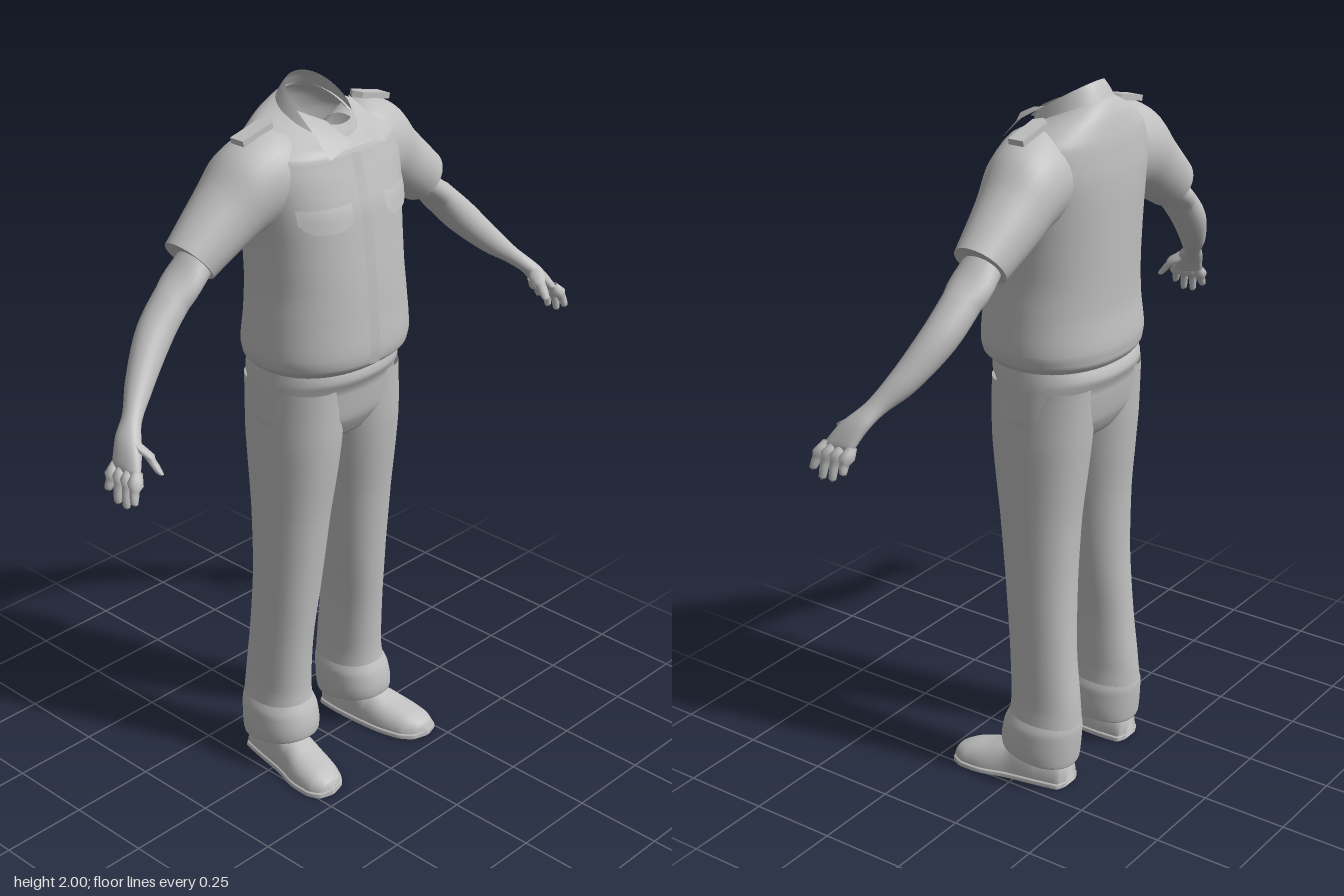
import * as THREE from 'three';

const gray = new THREE.MeshStandardMaterial({ color: 0xc0c0c0, side: THREE.DoubleSide });
gray.name = 'plain gray';
const V = (x, y, z) => new THREE.Vector3(x, y, z);
const lerp = THREE.MathUtils.lerp;

function mesh(name, geo) {
  const m = new THREE.Mesh(geo, gray);
  m.name = name;
  return m;
}

// Grid of points turned into a smooth surface; closed joins the last column to the first
function gridGeometry(rows, closed) {
  const n = rows[0].length, pos = [], idx = [];
  rows.forEach(r => r.forEach(p => pos.push(p.x, p.y, p.z)));
  for (let i = 0; i < rows.length - 1; i++) {
    for (let j = 0; j < (closed ? n : n - 1); j++) {
      const a = i * n + j, b = i * n + (j + 1) % n, c = a + n, d = b + n;
      idx.push(a, b, d, a, d, c);
    }
  }
  const g = new THREE.BufferGeometry();
  g.setAttribute('position', new THREE.Float32BufferAttribute(pos, 3));
  g.setIndex(idx);
  g.computeVertexNormals();
  return g;
}

// Smooth loft through superellipse sections { c, u, v, n }
function loft(name, secs, sides = 32, steps = 5) {
  const curve = k => new THREE.CatmullRomCurve3(secs.map(s => s[k]));
  const C = curve('c'), U = curve('u'), W = curve('v');
  const total = (secs.length - 1) * steps, rows = [];
  for (let i = 0; i <= total; i++) {
    const t = i / total, k = Math.min(Math.floor(i / steps), secs.length - 2);
    const e = 2 / lerp(secs[k].n, secs[k + 1].n, i / steps - k);
    const c = C.getPoint(t), u = U.getPoint(t), v = W.getPoint(t), row = [];
    for (let j = 0; j < sides; j++) {
      const a = j / sides * Math.PI * 2, x = Math.cos(a), y = Math.sin(a);
      const p = c.clone()
        .addScaledVector(u, Math.sign(x) * Math.abs(x) ** e)
        .addScaledVector(v, Math.sign(y) * Math.abs(y) ** e);
      p.y = Math.max(0, p.y);
      row.push(p);
    }
    rows.push(row);
  }
  return mesh(name, gridGeometry(rows, true));
}

// Level section from x and z limits; tilt is the rise per unit of z
function level(y, x0, x1, zf, zb, n = 2.2, tilt = 0) {
  const r = (zf - zb) / 2;
  return { c: V((x0 + x1) / 2, y, (zf + zb) / 2), u: V((x1 - x0) / 2, 0, 0), v: V(0, r * tilt, r), n };
}
const centred = ([y, w, zf, zb, tilt = 0]) => level(y, -w, w, zf, zb, 2.2, tilt);

// Arm section from its upper and lower outline points
const armSection = ([xt, yt, xb, yb, z, r]) => ({
  c: V((xt + xb) / 2, (yt + yb) / 2, z), u: V((xt - xb) / 2, (yt - yb) / 2, 0), v: V(0, 0, r), n: 2 });

// Tapered finger with a rounded tip
function finger(name, points, r) {
  const last = points.length - 1;
  const secs = points.map((p, i) => ({ c: V(...p), u: V(r, r * 0.4, 0), v: V(0, 0, r), n: 2 }));
  const tip = secs[last].c.clone().lerp(secs[last - 1].c, -0.15);
  secs[last].u.multiplyScalar(0.75);
  secs[last].v.multiplyScalar(0.75);
  secs.push({ c: tip, u: V(0.001, 0, 0), v: V(0, 0, 0.001), n: 2 });
  return loft(name, secs, 10, 3);
}

// Shirt body: y, half width, front z, back z, tilt
const torso = [
  [1.915, 0.085, 0.065, -0.13, -0.5], [1.905, 0.115, 0.085, -0.155, -0.4],
  [1.885, 0.18, 0.098, -0.175, -0.25], [1.85, 0.235, 0.105, -0.19, -0.1],
  [1.78, 0.25, 0.122, -0.2], [1.7, 0.24, 0.145, -0.202], [1.6, 0.23, 0.158, -0.2],
  [1.5, 0.227, 0.17, -0.198], [1.4, 0.235, 0.178, -0.198], [1.31, 0.242, 0.185, -0.208],
  [1.275, 0.235, 0.18, -0.205], [1.25, 0.212, 0.15, -0.188]];

// Point on the front of the shirt, raised by a small lift
function chest(x, y, lift) {
  let k = 0;
  while (k < torso.length - 2 && torso[k + 1][0] > y) k++;
  const a = torso[k], b = torso[k + 1], t = (y - a[0]) / (b[0] - a[0]);
  const [w, f, r] = [1, 2, 3].map(i => lerp(a[i], b[i], t));
  return V(x, y, (f + r) / 2 + (f - r) / 2 * (1 - Math.abs(x / w) ** 2.2) ** (1 / 2.2) + lift);
}

function chestPatch(name, cols, rowsN, fn) {
  const rows = [];
  for (let i = 0; i <= rowsN; i++) {
    const row = [];
    for (let j = 0; j <= cols; j++) row.push(chest(...fn(j / cols, i / rowsN)));
    rows.push(row);
  }
  return mesh(name, gridGeometry(rows, false));
}

// Everything that exists once per side, made for the +x side
function buildSide() {
  const g = new THREE.Group();

  // Short sleeve with a turned-in hem
  const sleeveEnd = [0.483, 1.675, 0.387, 1.558, -0.066, 0.072];
  g.add(loft('sleeve', [
    [0.1, 1.88, 0.1, 1.66, -0.04, 0.1], [0.19, 1.902, 0.18, 1.65, -0.05, 0.115],
    [0.285, 1.868, 0.235, 1.64, -0.06, 0.108], [0.36, 1.79, 0.29, 1.612, -0.066, 0.094],
    sleeveEnd].map(armSection)));
  g.add(loft('sleeveHem', [sleeveEnd, [0.445, 1.642, 0.405, 1.58, -0.063, 0.045]].map(armSection), 32, 1));

  // Arm, running into the flattened palm
  const arm = [
    [0.43, 1.66, 0.375, 1.59, -0.062, 0.054], [0.53, 1.575, 0.475, 1.505, -0.058, 0.054],
    [0.614, 1.5, 0.55, 1.43, -0.045, 0.05], [0.7, 1.397, 0.655, 1.34, -0.002, 0.039],
    [0.748, 1.336, 0.715, 1.3, 0.034, 0.03]].map(armSection);
  g.add(loft('arm', [...arm,
    { c: V(0.775, 1.275, 0.068), u: V(0.018, 0.012, 0), v: V(0, -0.005, 0.043), n: 2.3 },
    { c: V(0.806, 1.228, 0.092), u: V(0.014, 0.008, 0), v: V(0, -0.005, 0.047), n: 2.5 },
    { c: V(0.815, 1.212, 0.096), u: V(0.004, 0.002, 0), v: V(0, -0.003, 0.038), n: 2.5 }], 24));

  // Four fingers and the thumb
  [[0.054, 0.058, 1.172], [0.08, 0.092, 1.15], [0.106, 0.124, 1.148], [0.131, 0.153, 1.165]]
    .forEach(([z0, z1, y], i) => g.add(finger('finger' + (i + 1), [
      [0.804, 1.232, z0], [0.828, 1.195, (z0 + z1) / 2 + 0.003], [0.838, y, z1]], 0.0125)));
  g.add(finger('thumb', [[0.768, 1.285, 0.085], [0.756, 1.25, 0.122], [0.75, 1.215, 0.15]], 0.0145));

  // Trouser leg and loose cuff
  g.add(loft('trouserLeg', [
    [1.2, 0, 0.215, 0.125, -0.175], [1.05, 0, 0.225, 0.12, -0.165], [0.95, 0.008, 0.224, 0.11, -0.155],
    [0.8, 0.026, 0.22, 0.09, -0.14], [0.6, 0.046, 0.217, 0.07, -0.135], [0.4, 0.068, 0.22, 0.052, -0.145],
    [0.25, 0.07, 0.226, 0.046, -0.16], [0.19, 0.064, 0.235, 0.05, -0.163]].map(s => level(...s))));
  g.add(loft('trouserCuff', [
    level(0.215, 0.072, 0.226, 0.045, -0.157), level(0.175, 0.056, 0.245, 0.063, -0.164),
    level(0.12, 0.054, 0.25, 0.072, -0.16, 2.2, 0.08), level(0.083, 0.06, 0.246, 0.068, -0.154, 2.2, 0.15),
    level(0.088, 0.09, 0.215, 0.035, -0.125, 2.2, 0.15)]));

  // Shoe upper and sole: z, centre x, half width, height
  const shoe = [
    [-0.145, 0.155, 0.02, 0.045], [-0.133, 0.155, 0.046, 0.075], [-0.06, 0.16, 0.057, 0.1],
    [0.03, 0.17, 0.064, 0.1], [0.1, 0.184, 0.071, 0.076], [0.165, 0.194, 0.064, 0.058],
    [0.202, 0.2, 0.04, 0.04], [0.214, 0.202, 0.003, 0.015]];
  const shoeSecs = (grow, h, n) => shoe.map(([z, x, w, y]) =>
    ({ c: V(x, 0, z), u: V(w + grow, 0, 0), v: V(0, h || y, 0), n }));
  g.add(loft('shoe', shoeSecs(0, 0, 2.4)), loft('sole', shoeSecs(0.005, 0.016, 6)));

  // Shoulder strap, pointed towards the neck
  const s = new THREE.Shape([[-0.062, 0], [-0.045, -0.023], [0.062, -0.023], [0.062, 0.023], [-0.045, 0.023]]
    .map(p => new THREE.Vector2(...p)));
  const strap = mesh('shoulderStrap', new THREE.ExtrudeGeometry(s, { depth: 0.016, bevelEnabled: false }).rotateX(-Math.PI / 2));
  strap.position.set(0.208, 1.896, -0.057);
  strap.rotation.z = -0.24;
  g.add(strap);

  // Pocket flap, standing off along its rounded lower edge
  g.add(chestPatch('pocketFlap', 12, 5, (u, v) =>
    [lerp(0.06, 0.2, u), lerp(1.73, 1.655 + 0.03 * Math.abs(2 * u - 1) ** 4, v), 0.009 * v - 0.001]));

  // Collar flap
  g.add(mesh('collarFlap', gridGeometry([
    [V(0.094, 1.938, -0.02), V(0.055, 1.917, 0.045)],
    [V(0.108, 1.89, 0.06), V(0.05, 1.895, 0.088)],
    [V(0.105, 1.838, 0.108), V(0.022, 1.868, 0.108)]], false)));
  return g;
}

export function createModel() {
  const model = new THREE.Group();
  model.name = 'uniformedFigure';

  model.add(loft('shirtBody', torso.map(centred), 48));
  model.add(loft('trouserSeat', [
    [1.28, 0.213, 0.145, -0.183], [1.2, 0.222, 0.138, -0.19], [1.1, 0.224, 0.123, -0.174],
    [1.04, 0.15, 0.09, -0.14], [1.0, 0.04, 0.04, -0.07]].map(centred), 40));

  // Sloping collar stand
  model.add(loft('collar', [
    [1.949, 0.08, 0.05, -0.12, -0.6], [1.93, 0.09, 0.06, -0.132, -0.57],
    [1.897, 0.106, 0.072, -0.15, -0.5]].map(centred), 40));

  // Overlapping front edge of the shirt
  model.add(chestPatch('shirtFront', 3, 24, (u, v) =>
    [lerp(-0.03, 0, u), lerp(1.84, 1.275, v), 0.001 + 0.005 * u]));

  const left = buildSide(), right = buildSide();
  left.name = 'leftSide';
  right.name = 'rightSide';
  right.scale.x = -1;
  model.add(left, right);
  return model;
}
